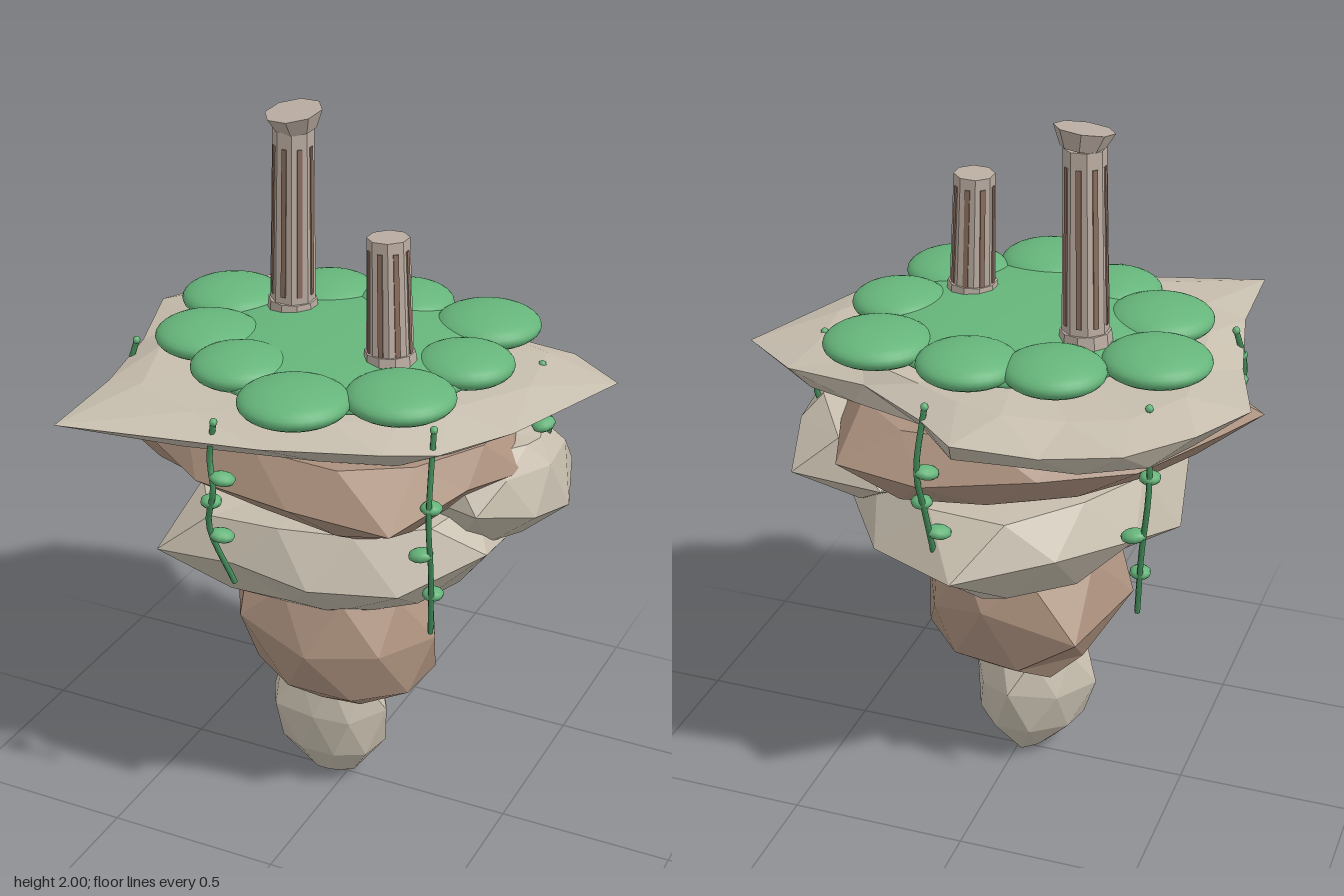
import * as THREE from 'three';

const mat = (name, color) => Object.assign(new THREE.MeshStandardMaterial({ color }), { name });
const M = {
  beige: mat('pale stone', 0xc6bdad),
  brown: mat('brown stone', 0xac917e),
  pillar: mat('pillar stone', 0xbaaca1),
  flute: mat('flute brown', 0x8a6e5e),
  grass: mat('grass green', 0x66b57b),
  vine: mat('vine green', 0x418a58),
};

let seed = 7;
const rand = () => (seed = (seed * 16807) % 2147483647) / 2147483647;

// Unshared corners give one normal per facet.
function faceted(geo) {
  const g = geo.index ? geo.toNonIndexed() : geo;
  g.computeVertexNormals();
  return g;
}

function add(parent, name, geo, material, x = 0, y = 0, z = 0) {
  const m = new THREE.Mesh(geo, material);
  m.name = name;
  m.position.set(x, y, z);
  parent.add(m);
  return m;
}

// Faceted rock: a plan outline [x, z, dy] repeated at levels [y, scale, dx, dz].
// Every second ring is turned half a step, so the facets become triangles.
function rock(parent, name, material, outline, levels, capRise = 0.01) {
  const n = outline.length;
  const cx = outline.reduce((s, p) => s + p[0], 0) / n;
  const cz = outline.reduce((s, p) => s + p[1], 0) / n;
  const full = levels.findIndex((l) => l[1] === 1);
  const isHalf = (k) => Math.abs(k - full) % 2 === 1;
  const rings = levels.map(([y, s, dx = 0, dz = 0], k) => outline.map((p, i) => {
    const q = isHalf(k) ? outline[(i + 1) % n] : p;
    const r = k === full ? 1 : s * (0.95 + 0.1 * rand());
    const dy = k === full ? p[2] || 0 : (rand() - 0.5) * 0.02;
    return [cx + dx + ((p[0] + q[0]) / 2 - cx) * r, y + dy, cz + dz + ((p[1] + q[1]) / 2 - cz) * r];
  }));
  const out = [];
  const tri = (...pts) => pts.forEach((p) => out.push(...p));
  for (let k = 0; k < rings.length - 1; k++) {
    const L = rings[k], U = rings[k + 1];
    for (let i = 0; i < n; i++) {
      const j = (i + 1) % n;
      if (isHalf(k)) { tri(L[i], U[j], U[i]); tri(L[i], L[j], U[j]); }
      else { tri(L[i], L[j], U[i]); tri(L[j], U[j], U[i]); }
    }
  }
  const [b, t] = [levels[0], levels[levels.length - 1]];
  const bc = [cx + (b[2] || 0), b[0] - capRise, cz + (b[3] || 0)];
  const tc = [cx + (t[2] || 0), t[0] + capRise, cz + (t[3] || 0)];
  for (let i = 0; i < n; i++) {
    const j = (i + 1) % n;
    tri(bc, rings[0][j], rings[0][i]);
    tri(tc, rings[rings.length - 1][i], rings[rings.length - 1][j]);
  }
  const geo = new THREE.BufferGeometry();
  geo.setAttribute('position', new THREE.Float32BufferAttribute(out, 3));
  add(parent, name, faceted(geo), material);
}

// Fluted eight-sided column on a collar, optionally with a flared, tilted capital.
function pillar(parent, name, x, z, height, leanX, leanZ, capital) {
  const g = new THREE.Group();
  g.name = name;
  g.position.set(x, 1.38, z);
  g.rotation.set(leanX, 0, leanZ);
  parent.add(g);
  add(g, 'collar', faceted(new THREE.CylinderGeometry(0.068, 0.075, 0.07, 10)), M.pillar, 0, 0.035, 0);
  const shaft = add(g, 'shaft', faceted(new THREE.CylinderGeometry(0.056, 0.064, height, 8)), M.pillar, 0, height / 2, 0);
  shaft.rotation.y = Math.PI / 8;
  for (let i = 0; i < 8; i++) {
    const arm = new THREE.Group();
    arm.name = 'flute';
    arm.rotation.y = (i * Math.PI) / 4;
    g.add(arm);
    const strip = add(arm, 'fluteStrip', new THREE.BoxGeometry(0.014, height * 0.76, 0.008), M.flute, 0, height * 0.54, 0.0545);
    strip.rotation.x = -0.0074 / height;
  }
  if (capital) {
    const cap = add(g, 'capital', faceted(new THREE.CylinderGeometry(0.08, 0.056, 0.05, 8)), M.pillar, 0.005, height + 0.023, 0);
    cap.rotation.set(0.1, 0.2, 0.12);
  }
}

// Hanging vine: a thin tube through the points, with small oval leaves turned inward.
function vine(parent, pts, leaves) {
  const g = new THREE.Group();
  g.name = 'vine';
  parent.add(g);
  const curve = new THREE.CatmullRomCurve3(pts.map((p) => new THREE.Vector3(...p)));
  add(g, 'stem', new THREE.TubeGeometry(curve, 14, 0.008, 6), M.vine);
  add(g, 'stemTop', new THREE.SphereGeometry(0.011, 8, 6), M.grass, ...pts[0]);
  leaves.forEach((t, i) => {
    const p = curve.getPoint(t);
    const a = Math.atan2(-p.z, -p.x) + (i % 2 ? -0.7 : 0.7);
    const leaf = add(g, 'leaf', new THREE.SphereGeometry(1, 10, 8), M.grass,
      p.x + Math.cos(a) * 0.026, p.y, p.z + Math.sin(a) * 0.026);
    leaf.scale.set(0.035, 0.019, 0.029);
    leaf.rotation.set(0, -a, -0.2);
  });
}

export function createModel() {
  const root = new THREE.Group();
  root.name = 'floatingIsland';

  // Stone layers, bottom to top
  rock(root, 'tipRock', M.beige,
    [[-0.23, 0.02], [-0.18, 0.11], [-0.05, 0.13], [0.06, 0.12], [0.14, 0.03, 0.02], [0.08, -0.09], [-0.02, -0.16, 0.02], [-0.15, -0.1]],
    [[0.03, 0.34, 0.01, 0], [0.13, 0.9, 0.01, 0], [0.26, 1], [0.38, 0.85]], 0.025);
  rock(root, 'lowerRock', M.brown,
    [[-0.33, 0.04], [-0.23, 0.22, 0.03], [0, 0.28, -0.02], [0.2, 0.22], [0.295, 0.05], [0.2, -0.16, -0.04], [0.02, -0.265, 0.03], [-0.25, -0.25, -0.03]],
    [[0.35, 0.52], [0.42, 0.88, 0.03, 0], [0.58, 1], [0.72, 0.88]]);
  rock(root, 'middleRock', M.beige,
    [[-0.45, 0.08, -0.08], [-0.39, 0.39], [-0.15, 0.4, 0.02], [0.08, 0.42], [0.29, 0.3, -0.03], [0.46, 0.1, 0.04], [0.45, -0.15], [0.27, -0.41, -0.02], [0, -0.555], [-0.24, -0.4, 0.03], [-0.39, -0.17]],
    [[0.7, 0.55], [0.74, 0.76], [0.87, 1], [1.0, 0.86]]);
  rock(root, 'upperRock', M.brown,
    [[-0.65, 0.17], [-0.52, 0.24, 0.02], [-0.26, 0.39, -0.02], [0.05, 0.47], [0.34, 0.47, -0.01], [0.44, 0.2, 0.02], [0.52, 0], [0.44, -0.2, 0.02], [0.34, -0.48], [0.09, -0.53], [-0.2, -0.44, 0.02], [-0.42, -0.27], [-0.58, 0, 0.01]],
    [[0.99, 0.58], [1.04, 0.82], [1.13, 1], [1.235, 0.88]]);
  rock(root, 'sideBoulder', M.beige,
    [[0.2, -0.1], [0.3, 0.12, 0.04], [0.45, 0.16, 0.04], [0.565, 0.02], [0.595, -0.16, -0.04], [0.53, -0.355], [0.27, -0.35, -0.02]],
    [[0.91, 0.62, -0.03, 0], [1.01, 1], [1.12, 0.88], [1.175, 0.4, 0.03, 0]]);
  rock(root, 'plateau', M.beige,
    [[-0.04, -0.64], [-0.26, -0.615, -0.01], [-0.46, -0.555], [-0.6, -0.39], [-0.695, -0.21], [-0.61, 0.05, -0.01], [-0.545, 0.34], [-0.53, 0.635], [0.0, 0.515, -0.01], [0.3, 0.43], [0.42, 0.35, -0.01], [0.55, 0.17], [0.69, -0.23], [0.52, -0.36], [0.3, -0.37, -0.01], [0.08, -0.53]],
    [[1.245, 0.85, -0.02, -0.02], [1.325, 1], [1.358, 0.8]], 0.005);

  // Grass: central dome ringed by rounded clumps [x, z, radius]
  const clumps = [[-0.43, -0.155, 0.145], [-0.2, -0.3, 0.136], [0.025, -0.33, 0.136], [0.293, -0.283, 0.146],
    [0.338, -0.013, 0.132], [0.268, 0.248, 0.145], [0.034, 0.388, 0.147], [-0.191, 0.255, 0.132], [-0.365, 0.11, 0.145]];
  const ball = new THREE.SphereGeometry(1, 32, 16);
  add(root, 'grassDome', ball, M.grass, -0.01, 1.385, 0).scale.set(0.4, 0.052, 0.4);
  clumps.forEach(([x, z, r]) => add(root, 'grassClump', ball, M.grass, x, 1.403, z).scale.set(r, 0.05, r));

  // Ruined columns
  pillar(root, 'tallPillar', -0.228, -0.125, 0.56, 0.02, -0.025, true);
  pillar(root, 'shortPillar', 0.168, 0.09, 0.38, -0.02, 0.035, false);

  // Vines around the rim
  vine(root, [[-0.135, 1.36, 0.505], [-0.15, 1.25, 0.505], [-0.13, 1.18, 0.525], [-0.155, 1.06, 0.51], [-0.105, 0.88, 0.47]], [0.42, 0.62, 0.8]);
  vine(root, [[0.395, 1.37, 0.325], [0.4, 1.13, 0.36], [0.395, 0.95, 0.325], [0.38, 0.75, 0.285]], [0.3, 0.55, 0.8]);
  vine(root, [[-0.56, 1.37, 0.165], [-0.585, 1.27, 0.175], [-0.585, 1.2, 0.17]], [0.4, 0.8]);
  vine(root, [[-0.465, 1.36, -0.345], [-0.48, 1.15, -0.38], [-0.46, 0.95, -0.36], [-0.445, 0.75, -0.33]], [0.3, 0.58, 0.8]);
  vine(root, [[0.07, 1.36, -0.52], [0.09, 1.18, -0.535], [0.08, 1.04, -0.505], [0.07, 0.88, -0.465]], [0.35, 0.6, 0.8]);
  vine(root, [[0.49, 1.36, -0.185], [0.48, 1.25, -0.18], [0.52, 1.2, -0.19], [0.505, 1.13, -0.185]], [0.45, 0.7]);
  return root;
}
